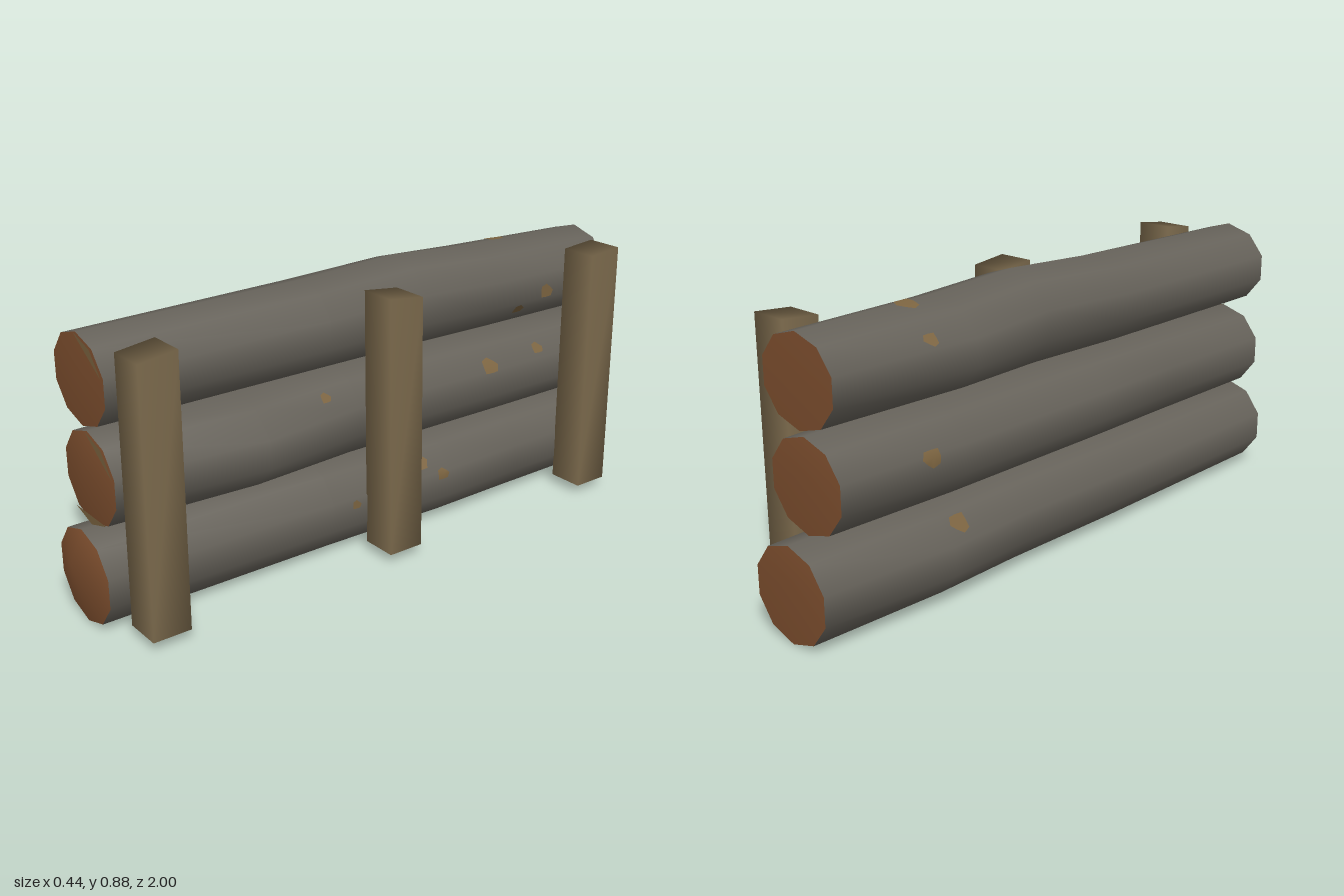
import * as THREE from 'three';
import { mergeVertices } from 'three/addons/utils/BufferGeometryUtils.js';

const SIDES = 10;
const STEP = 360 / SIDES;
const LEFT = -0.187, RIGHT = 0.097, CENTRE = -0.045;
const rad = THREE.MathUtils.degToRad;

function geometry(points, index) {
  const g = new THREE.BufferGeometry();
  g.setAttribute('position', new THREE.Float32BufferAttribute(points.flat(), 3));
  g.setIndex(index);
  g.computeVertexNormals();
  return g;
}

// Ring corner of a log section; the bulge widens it to each side and the top
function corner({ z, left, right, bottom, top }, i) {
  const a = rad(-90 + STEP * i);
  const c = Math.cos(a) / Math.cos(rad(STEP / 2));
  const x = CENTRE + c * (c > 0 ? right - CENTRE : CENTRE - left);
  return [x, (bottom + top) / 2 + (Math.sin(a) * (top - bottom)) / 2, z];
}

// Plain sections at both ends, bulged ones between
function logRings({ bottom, top, front, back, bulges }) {
  return [[front, 0, 0, 0], ...bulges, [back, 0, 0, 0]].map(([z, dl, dr, dt]) => {
    const section = { z, left: LEFT - dl, right: RIGHT + dr, bottom, top: top + dt };
    return Array.from({ length: SIDES }, (_, i) => corner(section, i));
  });
}

// Point on the faceted log surface, lifted a little
function surfacePoint(rings, z, deg) {
  let j = 0;
  while (j < rings.length - 2 && z < rings[j + 1][0][2]) j++;
  const k = (rings[j][0][2] - z) / (rings[j][0][2] - rings[j + 1][0][2]);
  const f = (deg + 90) / STEP, i = Math.floor(f);
  const along = (n) => new THREE.Vector3(...rings[j][n % SIDES])
    .lerp(new THREE.Vector3(...rings[j + 1][n % SIDES]), k);
  const lift = new THREE.Vector3(Math.cos(rad(deg)), Math.sin(rad(deg)), 0);
  return along(i).lerp(along(i + 1), f - i).addScaledVector(lift, 0.005).toArray();
}

// Bulges: z, left, right, top. Patches: z, angle, half length
const bottomLog = {
  name: 'bottomLog', bottom: 0, top: 0.288, front: 0.96, back: -0.99,
  domeY: 0.19, dome: 0.04, endPatches: [],
  bulges: [[0.2, 0.018, 0.003, 0.002], [-0.25, 0.013, 0.018, 0.002], [-0.55, 0.028, 0.008, 0.002]],
  patches: [[0.12, 10, 0.018], [-0.14, 38, 0.04], [-0.22, 15, 0.025], [-0.5, 140, 0.035]],
};
const middleLog = {
  name: 'middleLog', bottom: 0.293, top: 0.572, front: 0.92, back: -0.92,
  domeY: 0.47, dome: 0.022, endPatches: [4, 10],
  bulges: [[0.45, 0.008, 0.043, 0.008], [0.1, 0.02, 0.003, 0.011], [-0.5, 0.024, 0.005, 0.006]],
  patches: [[0.21, 42, 0.02], [-0.43, 25, 0.035], [-0.65, 32, 0.025], [-0.62, 165, 0.035]],
};
const topLog = {
  name: 'topLog', bottom: 0.59, top: 0.857, front: 0.93, back: -0.93,
  domeY: 0.73, dome: 0.01, endPatches: [4],
  bulges: [[0.2, 0.02, -0.004, 0.011], [-0.15, 0.006, 0, 0.028], [-0.45, 0.028, 0.003, 0.009]],
  patches: [[-0.57, 96, 0.035], [-0.55, -28, 0.025], [-0.66, -8, 0.03], [-0.6, 150, 0.025]],
};

function buildLog(log, mats) {
  const group = new THREE.Group();
  group.name = log.name;
  const add = (name, geo, mat) => {
    const m = new THREE.Mesh(geo, mat);
    m.name = name;
    group.add(m);
  };
  const rings = logRings(log);

  // Bark skin lofted along the log
  const index = [];
  for (let j = 0; j < rings.length - 1; j++) {
    for (let i = 0; i < SIDES; i++) {
      const a = j * SIDES + i, b = j * SIDES + ((i + 1) % SIDES);
      index.push(a, a + SIDES, b, b, a + SIDES, b + SIDES);
    }
  }
  add('bark', geometry(rings.flat(), index), mats.bark);

  // Centre point joined to the points around it
  const fan = (count, flip) => Array.from({ length: count }, (_, i) => {
    const n = ((i + 1) % count) + 1;
    return flip ? [0, n, i + 1] : [0, i + 1, n];
  }).flat();

  // Cut ends, slightly domed
  const frontTip = [CENTRE, log.domeY, log.front + log.dome];
  const backTip = [CENTRE, log.domeY, log.back - Math.min(log.dome, 0.02) / 2];
  add('frontCutEnd', geometry([frontTip, ...rings[0]], fan(SIDES, false)), mats.cut);
  add('backCutEnd', geometry([backTip, ...rings.at(-1)], fan(SIDES, true)), mats.cut);

  // Lichen patches wrapped over the bark
  for (const [z, deg, size] of log.patches) {
    const pts = [surfacePoint(rings, z, deg)];
    for (let i = 0; i < 8; i++) {
      const a = (i * Math.PI) / 4, w = size * (i % 3 ? 1 : 0.75);
      pts.push(surfacePoint(rings, z + w * Math.cos(a), deg + 350 * w * Math.sin(a)));
    }
    add('lichenPatch', geometry(pts, fan(8, false)), mats.lichen);
  }

  // Lichen slivers on the rim of the front end
  for (const i of log.endPatches) {
    const pts = [i - 1, i, i + 1].map((n) => {
      const [x, y, z] = rings[0][n % SIDES];
      return [x, y, z + 0.007];
    });
    add('endLichen', geometry(pts, [0, 1, 2]), mats.lichen);
  }
  return group;
}

// Square post with a slightly skewed top and softened normals
function buildPost(z, lean, slope, mat) {
  let geo = new THREE.BoxGeometry(0.12, 0.81, 0.12);
  geo.deleteAttribute('uv');
  geo.deleteAttribute('normal');
  geo = mergeVertices(geo);
  const p = geo.attributes.position;
  for (let i = 0; i < p.count; i++) {
    if (p.getY(i) < 0) continue;
    p.setY(i, p.getY(i) + Math.sign(p.getZ(i)) * slope);
    p.setZ(i, p.getZ(i) + lean);
  }
  geo.computeVertexNormals();
  const post = new THREE.Mesh(geo, mat);
  post.position.set(0.16, 0.435, z);
  return post;
}

export function createModel() {
  const material = (name, color) => {
    const m = new THREE.MeshStandardMaterial({ color });
    m.name = name;
    return m;
  };
  const mats = {
    bark: material('greyBark', 0x66625a),
    cut: material('cutWood', 0x80502f),
    post: material('postWood', 0x7e6c4e),
    lichen: material('lichen', 0x7c6440),
  };
  mats.lichen.side = THREE.DoubleSide;

  const model = new THREE.Group();
  model.name = 'logWall';
  for (const log of [bottomLog, middleLog, topLog]) model.add(buildLog(log, mats));

  const posts = [['frontPost', 0.84, -0.005, -0.008], ['middlePost', 0.015, 0.008, 0.007],
    ['backPost', -0.8, 0, -0.005]];
  for (const [name, z, lean, slope] of posts) {
    const post = buildPost(z, lean, slope, mats.post);
    post.name = name;
    model.add(post);
  }
  return model;
}
